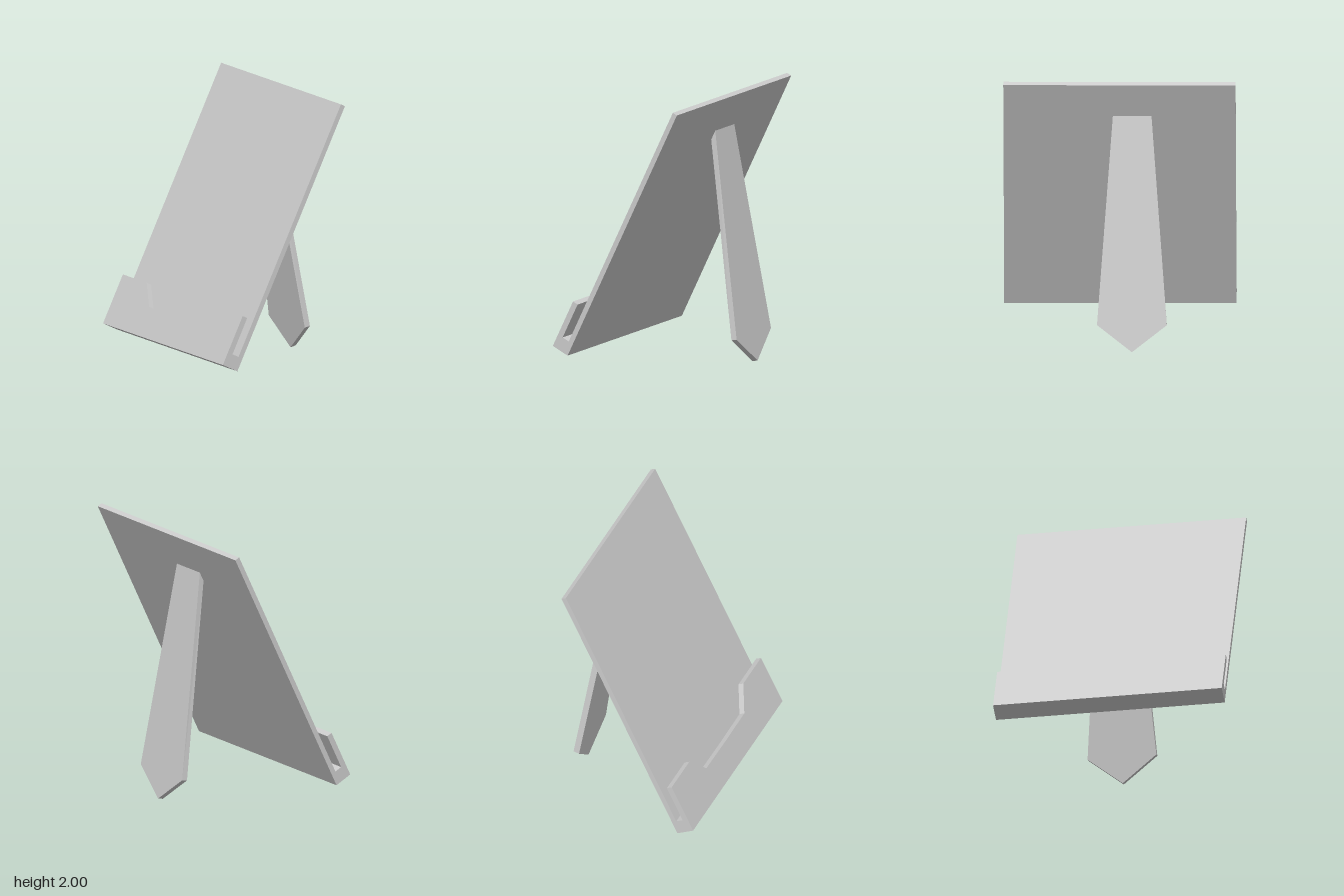
import * as THREE from 'three';

const material = new THREE.MeshStandardMaterial({ color: 0xcccccc, flatShading: true });

function part(name, geometry) {
  const mesh = new THREE.Mesh(geometry, material);
  mesh.name = name;
  return mesh;
}

function plate(points, depth) {
  const shape = new THREE.Shape(points.map(([x, y]) => new THREE.Vector2(x, y)));
  return new THREE.ExtrudeGeometry(shape, { depth, bevelEnabled: false });
}

const HALF = 0.848;      // half width of the stand
const TILT = 26 * Math.PI / 180;
const BOARD = 0.038;     // board thickness
const LIP_BACK = 0.095;  // where the slot ends and the lip starts
const DEPTH = 0.138;     // full depth of the tray

export function createModel() {
  const model = new THREE.Group();
  model.name = 'tabletStand';
  model.rotation.y = -0.706;

  // Leaning panel with its tray, modelled upright and then tilted back
  const panel = new THREE.Group();
  panel.name = 'leaningPanel';
  panel.rotation.x = -TILT;
  panel.position.set(0, 0.105, 0.396);

  const board = part('backBoard', new THREE.BoxGeometry(2 * HALF, 2.09, BOARD));
  board.position.set(0, 1.045, BOARD / 2);

  const floor = part('trayFloor', new THREE.BoxGeometry(2 * HALF, 0.1, LIP_BACK - BOARD));
  floor.position.set(0, 0.05, (BOARD + LIP_BACK) / 2);

  // Front lip with a wide notch in its upper edge
  const lip = part('frontLip', plate([
    [-HALF, 0], [HALF, 0], [HALF, 0.386], [0.512, 0.386], [0.36, 0.224],
    [0, 0.221], [-0.36, 0.224], [-0.512, 0.386], [-HALF, 0.386],
  ], DEPTH - LIP_BACK));
  lip.position.z = LIP_BACK;
  panel.add(board, floor, lip);

  // Tapered rear leg: pointed foot, slanted to meet the board at the top
  const legGeometry = plate([
    [0, 0.009], [0.255, 0.205], [0.141, 1.72], [0, 1.727], [-0.141, 1.72], [-0.255, 0.205],
  ], 0.045);
  const p = legGeometry.attributes.position;
  for (let i = 0; i < p.count; i++) {
    let y = p.getY(i);
    const z = p.getZ(i);
    if (z > 0.02) y -= y > 1 ? 0.072 : 0.009;
    p.setXYZ(i, p.getX(i), y, z - 0.39 - (1.72 - y) * 0.161);
  }
  legGeometry.computeVertexNormals();
  const leg = part('rearLeg', legGeometry);
  leg.position.x = -0.092;

  model.add(panel, leg);
  const root = new THREE.Group();
  root.add(model);
  return root;
}
